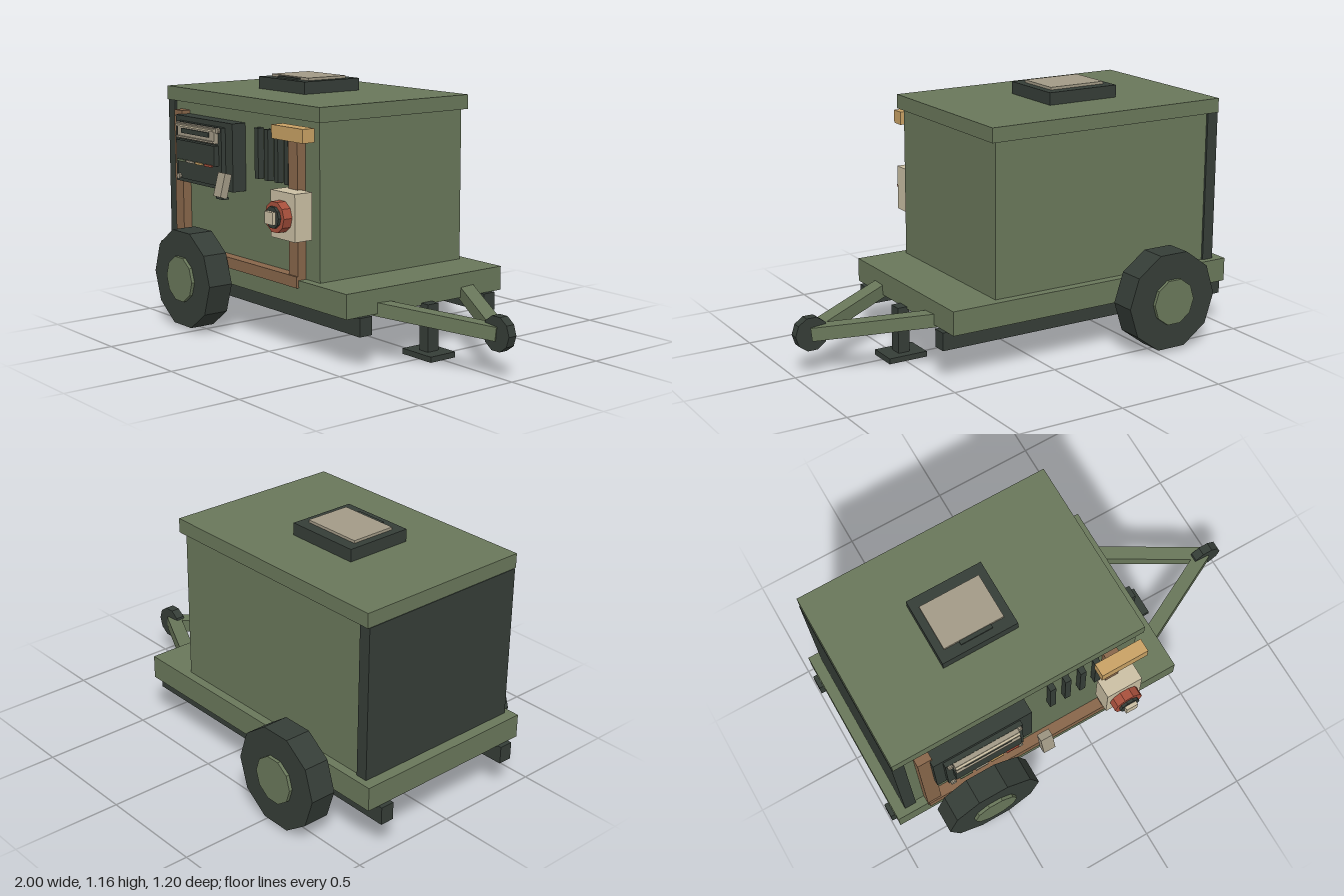
import * as THREE from 'three';

const mat = (name, color) => {
  const m = new THREE.MeshStandardMaterial({ color });
  m.name = name;
  return m;
};

export function createModel() {
  const olive = mat('olive', 0x69775a);
  const dark = mat('charcoal', 0x353d37);
  const brown = mat('brown', 0x87664a);
  const sand = mat('sand', 0xc8a164);
  const cream = mat('cream', 0xcabfa3);
  const grey = mat('warmGrey', 0xa29a86);
  const red = mat('red', 0xa8503c);
  const root = new THREE.Group();
  root.name = 'generatorTrailer';

  // Box given by its min and max on each axis
  const box = (name, m, x0, x1, y0, y1, z0, z1, parent = root) => {
    const mesh = new THREE.Mesh(new THREE.BoxGeometry(x1 - x0, y1 - y0, z1 - z0), m);
    mesh.position.set((x0 + x1) / 2, (y0 + y1) / 2, (z0 + z1) / 2);
    mesh.name = name;
    parent.add(mesh);
    return mesh;
  };

  // Faceted ten-sided disc along z, flat on top and bottom
  const disc = (name, m, r, x, y, z0, z1, parent = root, sides = 10) => {
    let g = new THREE.CylinderGeometry(r, r, z1 - z0, sides, 1, false, Math.PI / 2).rotateX(Math.PI / 2);
    g = g.toNonIndexed();
    g.computeVertexNormals();
    const mesh = new THREE.Mesh(g, m);
    mesh.position.set(x, y, (z0 + z1) / 2);
    mesh.name = name;
    parent.add(mesh);
    return mesh;
  };

  // Chassis and housing
  box('deck', olive, -0.98, 0.47, 0.225, 0.333, -0.44, 0.44);
  box('housing', olive, -0.88, 0.24, 0.333, 1.025, -0.4, 0.4);
  box('endPanel', dark, -0.93, -0.875, 0.333, 1.023, -0.41, 0.41);
  box('roof', olive, -0.927, 0.265, 1.023, 1.088, -0.418, 0.418);

  // Roof hatch
  box('hatchFrame', dark, -0.545, -0.19, 1.088, 1.144, -0.157, 0.157);
  box('hatchLid', grey, -0.51, -0.228, 1.144, 1.156, -0.106, 0.106);
  box('hatchHandle', dark, -0.44, -0.29, 1.144, 1.152, 0.106, 0.124);

  // Rails, wheels and drawbar arms, mirrored in z
  for (const s of [-1, 1]) {
    const span = (a, b) => (s > 0 ? [a, b] : [-b, -a]);
    box('rail', dark, -1, 0.49, 0.145, 0.226, ...span(0.32, 0.385));
    disc('tyre', dark, 0.231, -0.57, 0.236, ...span(0.463, 0.583));
    disc('hub', olive, 0.107, -0.57, 0.236, ...span(0.453, 0.598));

    const a = new THREE.Vector3(0.33, 0.257, 0.31 * s);
    const b = new THREE.Vector3(0.915, 0.19, 0);
    const arm = new THREE.Mesh(new THREE.BoxGeometry(0.065, 0.06, a.distanceTo(b)), olive);
    arm.position.copy(a).add(b).multiplyScalar(0.5);
    arm.lookAt(b);
    arm.name = 'drawbarArm';
    root.add(arm);
  }
  disc('hitchCoupler', dark, 0.077, 0.923, 0.19, -0.021, 0.021);

  // Jack stand
  box('jackLeg', dark, 0.46, 0.515, 0.02, 0.235, -0.03, 0.03);
  box('jackFoot', dark, 0.395, 0.58, 0, 0.025, -0.07, 0.07);

  // Conduit on the front face
  box('leftConduit', brown, -0.83, -0.763, 0.31, 0.985, 0.395, 0.443);
  box('rightConduit', brown, 0.075, 0.14, 0.31, 0.985, 0.395, 0.443);
  box('lowerConduit', brown, -0.825, 0.1, 0.3, 0.35, 0.4, 0.45);
  box('conduitElbow', brown, 0.075, 0.14, 0.3, 0.35, 0.4, 0.451);

  // Control panel
  const panel = new THREE.Group();
  panel.name = 'controlPanel';
  root.add(panel);
  box('panelCase', dark, -0.775, -0.307, 0.66, 0.968, 0.4, 0.47, panel);
  box('panelPlate', dark, -0.73, -0.363, 0.68, 0.945, 0.47, 0.492, panel);
  for (const x of [-0.71, -0.383])
    for (const y of [0.69, 0.932]) disc('screw', grey, 0.013, x, y, 0.49, 0.504, panel);
  box('displayBezel', grey, -0.695, -0.39, 0.872, 0.942, 0.49, 0.512, panel);
  box('displaySlot', dark, -0.655, -0.43, 0.898, 0.92, 0.512, 0.518, panel);
  box('displayLip', cream, -0.695, -0.39, 0.928, 0.936, 0.512, 0.522, panel);
  box('displayLowerLip', grey, -0.695, -0.39, 0.876, 0.884, 0.512, 0.522, panel);
  box('switchPlate', dark, -0.7, -0.385, 0.772, 0.864, 0.49, 0.517, panel);
  [olive, grey, sand, red].forEach((m, i) => {
    const x = -0.685 + i * 0.075;
    box('indicator', m, x, x + 0.06, 0.766, 0.776, 0.515, 0.523, panel);
  });

  // Tilted lever below the panel
  const lever = box('lever', grey, -0.308, -0.252, 0.65, 0.758, 0.526, 0.562);
  lever.rotation.x = -0.26;
  box('leverBase', dark, -0.308, -0.252, 0.643, 0.652, 0.53, 0.562);

  // Cooling slots
  for (let i = 0; i < 4; i++) {
    const x = -0.18 + i * 0.0735;
    box('coolingSlot', dark, x - 0.014, x + 0.014, 0.735, 0.96, 0.395, 0.43);
  }

  // Lamp hood and power socket
  box('lampHood', sand, 0.02, 0.243, 0.94, 1.0, 0.43, 0.491);
  box('socketBox', cream, 0.045, 0.218, 0.52, 0.726, 0.425, 0.515);
  disc('socketCollar', red, 0.069, 0.13, 0.622, 0.515, 0.558);
  disc('socketRing', dark, 0.048, 0.13, 0.622, 0.55, 0.571);
  box('socketPlug', cream, 0.102, 0.158, 0.594, 0.648, 0.565, 0.588);

  return root;
}
